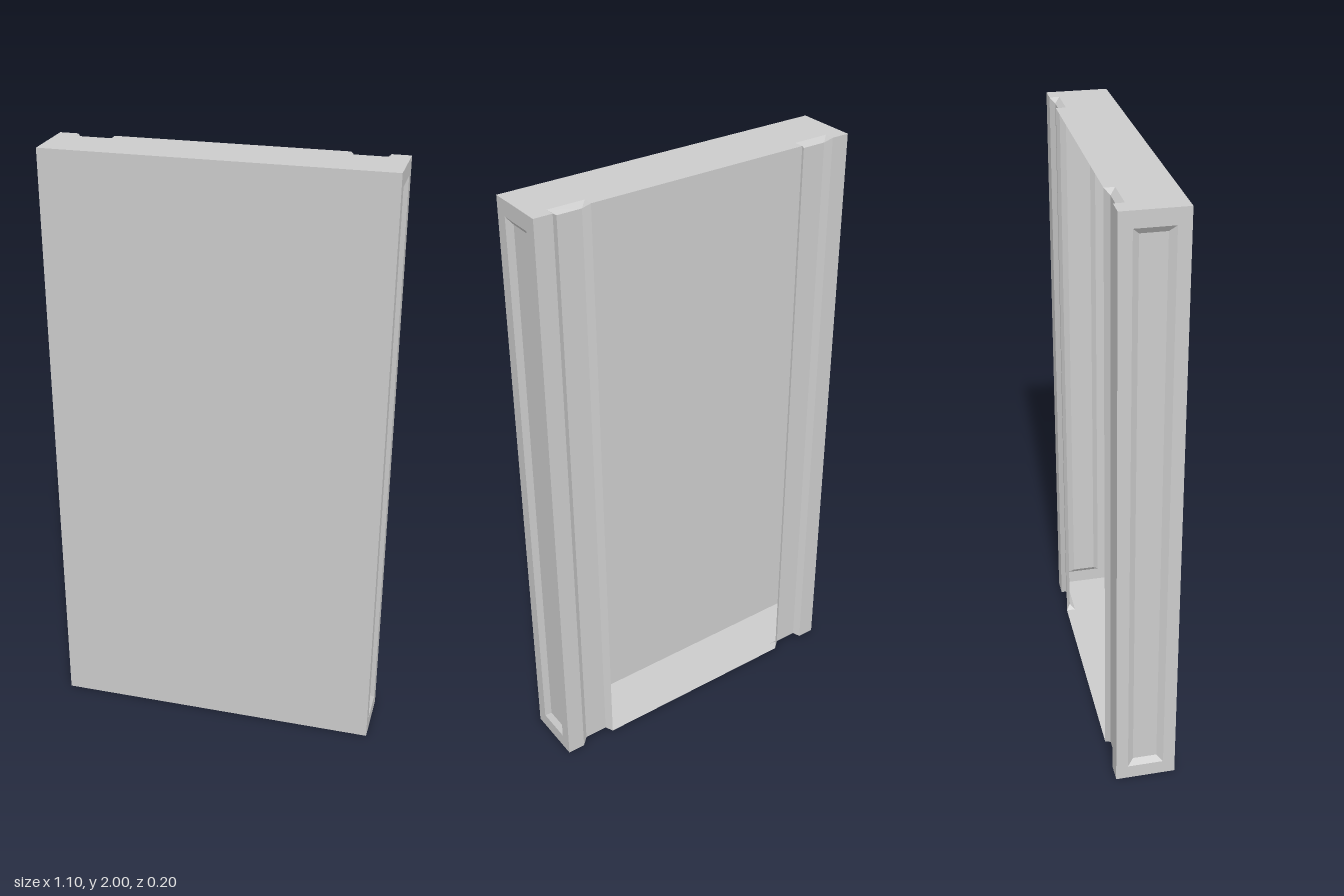
import * as THREE from 'three';

const W = 0.55, H = 2, D = 0.1;            // half width, height, half depth
const GX = 0.43, GW = 0.06, GD = 0.032;    // groove centre, half width, end notch depth
const INSET = 0.02, DEPTH = 0.015;         // bevel width and depth of the recesses

const material = new THREE.MeshStandardMaterial({
  color: 0xcccccc, flatShading: true, side: THREE.DoubleSide,
});

function add(parent, name, geometry, x = 0, y = 0, z = 0) {
  const mesh = new THREE.Mesh(geometry, material);
  mesh.name = name;
  mesh.position.set(x, y, z);
  parent.add(mesh);
  return mesh;
}

// Joins nested rings (clockwise from outside) and caps the innermost one
function recess(rings) {
  const pos = [];
  const tri = (a, b, c) => pos.push(...a, ...b, ...c);
  const n = rings[0].length;
  for (let r = 0; r < rings.length - 1; r++) {
    const o = rings[r], q = rings[r + 1];
    for (let i = 0; i < n; i++) {
      const j = (i + 1) % n;
      if (q[i] !== q[j]) tri(o[i], q[i], q[j]);
      tri(o[i], q[j], o[j]);
    }
  }
  const last = rings[rings.length - 1], s = n / 4;
  const [a, b, c, d] = [3, 2, 1, 0].map((k) => last[k * s]);
  tri(a, b, c);
  tri(a, c, d);
  const g = new THREE.BufferGeometry();
  g.setAttribute('position', new THREE.Float32BufferAttribute(pos, 3));
  g.computeVertexNormals();
  return g;
}

// End plate with two notches where the grooves run out
function endPlate() {
  const s = new THREE.Shape();
  s.moveTo(-W, -D);
  s.lineTo(W, -D);
  s.lineTo(W, D);
  for (const x of [GX, -GX]) {
    s.lineTo(x + GW, D);
    s.lineTo(x + GW, D - GD);
    s.lineTo(x - GW, D - GD);
    s.lineTo(x - GW, D);
  }
  s.lineTo(-W, D);
  return new THREE.ShapeGeometry(s).rotateX(-Math.PI / 2);
}

// Side face: flat frame, bevel and sunken panel
function sidePanel() {
  const ring = (x, z, y) => [[x, y, z], [x, H - y, z], [x, H - y, -z], [x, y, -z]];
  return recess([
    ring(W, D, 0),
    ring(W, 0.06, 0.05),
    ring(W - DEPTH, 0.06 - INSET, 0.05 + INSET),
  ]);
}

// Bevelled groove that wraps over the top and bottom edges
function groove() {
  const f = -D + GD, b = -D, w = GW, v = GW - INSET, z = -D + DEPTH;
  const outer = [
    [w, 0, f], [w, 0, b], [w, H, b], [w, H, f],
    [-w, H, f], [-w, H, b], [-w, 0, b], [-w, 0, f],
  ];
  const corners = [[v, DEPTH, z], [v, H - DEPTH, z], [-v, H - DEPTH, z], [-v, DEPTH, z]];
  return recess([outer, corners.flatMap((p) => [p, p])]);
}

export function createModel() {
  const model = new THREE.Group();
  model.name = 'hollowPanel';

  add(model, 'frontPanel', new THREE.PlaneGeometry(2 * W, H), 0, H / 2, D);

  add(model, 'topPlate', endPlate(), 0, H, 0);
  add(model, 'bottomPlate', endPlate()).rotation.z = Math.PI;

  add(model, 'leftSide', sidePanel());
  add(model, 'rightSide', sidePanel()).rotation.y = Math.PI;

  // Back: outer strips and grooves, open in the middle
  const stripWidth = W - GX - GW;
  for (const [side, s] of [['left', 1], ['right', -1]]) {
    add(model, side + 'Groove', groove(), s * GX);
    add(model, side + 'BackStrip', new THREE.PlaneGeometry(stripWidth, H).rotateY(Math.PI),
      s * (W - stripWidth / 2), H / 2, -D);
  }
  return model;
}
